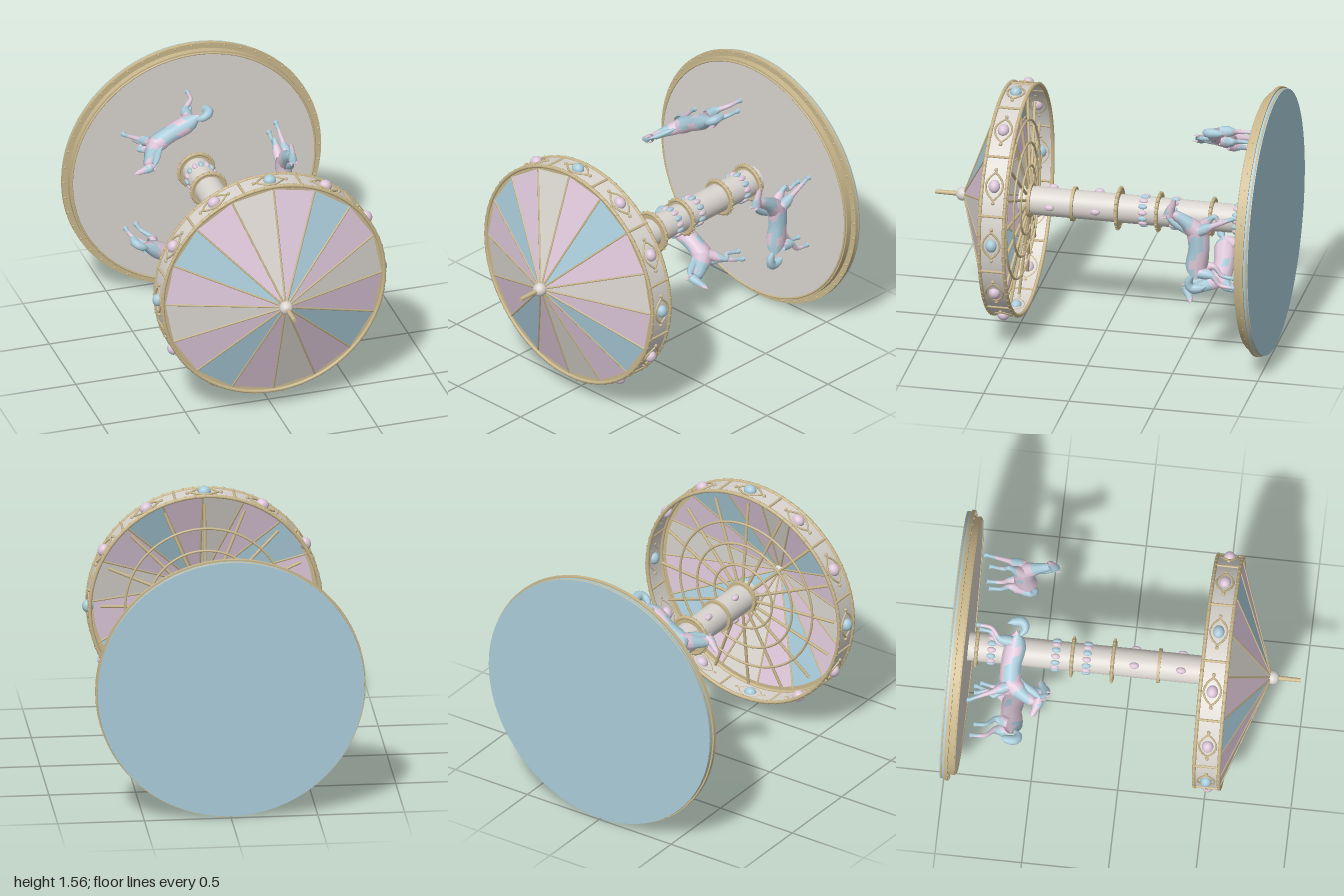
import * as THREE from 'three';
import { mergeGeometries } from 'three/addons/utils/BufferGeometryUtils.js';

const mat = (name, color, side = THREE.DoubleSide) => {
  const m = new THREE.MeshStandardMaterial({ color, side });
  m.name = name;
  return m;
};
const cream = mat('cream', 0xd9d4ce);
const pink = mat('pink', 0xdcc6d8);
const blue = mat('blue', 0xa9cbd9);
const gold = mat('gold', 0xc9b78c);

const TAU = Math.PI * 2;
const V = (x, y, z) => new THREE.Vector3(x, y, z);
// Clock angle a, radius r and height h along the carousel axis
const polar = (a, r, h) => V(r * Math.sin(a), h, -r * Math.cos(a));

function add(parent, name, geometry, material) {
  const m = new THREE.Mesh(geometry, material);
  m.name = name;
  parent.add(m);
  return m;
}
// Solid or open drum between two heights
function drum(parent, name, r, h0, h1, material, open = false) {
  const g = new THREE.CylinderGeometry(r, r, h1 - h0, 72, 1, open);
  return add(parent, name, g.translate(0, (h0 + h1) / 2, 0), material);
}
function hoop(parent, name, r, tube, h, material = gold) {
  const g = new THREE.TorusGeometry(r, tube, 8, 72).rotateX(Math.PI / 2).translate(0, h, 0);
  return add(parent, name, g, material);
}
// Straight rod between two points
function rod(a, b, r) {
  return new THREE.TubeGeometry(new THREE.LineCurve3(a, b), 1, r, 7);
}
// Ellipsoid set on a drum: w around, t high, d outwards
function stud(a, r, h, w, t, d, seg = 14) {
  const g = new THREE.SphereGeometry(1, seg, Math.ceil(seg * 0.7)).scale(w, t, d);
  const p = polar(a, r, h);
  return g.rotateY(Math.PI - a).translate(p.x, p.y, p.z);
}
function studRing(parent, name, n, r, h, size, material = gold) {
  const list = [];
  for (let i = 0; i < n; i++) list.push(stud(i / n * TAU, r, h, size, size, size, 7));
  add(parent, name, mergeGeometries(list), material);
}

// Tube with a radius that changes along its path; flat squeezes it sideways
function limb(points, radii, flat = 1) {
  const seg = 20;
  const curve = new THREE.CatmullRomCurve3(points.map(p => V(...p)));
  const g = new THREE.TubeGeometry(curve, seg, 1, 10);
  const p = g.attributes.position;
  for (let i = 0; i < p.count; i++) {
    const t = Math.floor(i / 11) / seg;
    const c = curve.getPointAt(t);
    const u = t * (radii.length - 1), k = Math.min(Math.floor(u), radii.length - 2);
    const r = THREE.MathUtils.lerp(radii[k], radii[k + 1], u - k);
    const v = V().fromBufferAttribute(p, i).sub(c).multiplyScalar(r);
    p.setXYZ(i, c.x + v.x, c.y + v.y, c.z + v.z * flat);
  }
  return g;
}
// Split a surface into pink coat and blue patches
function mottle(geometry) {
  const g = geometry.toNonIndexed(), p = g.attributes.position;
  const sets = [[], []];
  for (let i = 0; i < p.count; i += 3) {
    const x = p.getX(i), y = p.getY(i), z = p.getZ(i);
    const patch = Math.sin(x * 34 + 1) + Math.sin(y * 47 + x * 18) + Math.sin(z * 40 + y * 20);
    sets[patch > 0.55 ? 1 : 0].push(i, i + 1, i + 2);
  }
  g.setIndex([...sets[0], ...sets[1]]);
  g.addGroup(0, sets[0].length, 0);
  g.addGroup(sets[0].length, sets[1].length, 1);
  return g;
}

// Horse faces +x with its back towards +y
function makeHorse() {
  const horse = new THREE.Group();
  horse.name = 'horse';
  const coat = [pink, blue];
  const parts = [
    limb([[-0.2, -0.63, 0], [-0.12, -0.63, 0], [0, -0.645, 0], [0.1, -0.64, 0], [0.175, -0.63, 0]],
      [0, 0.05, 0.066, 0.066, 0.062, 0.062, 0.066, 0.05, 0], 0.75),
    limb([[0.1, -0.64, 0], [0.16, -0.57, 0], [0.2, -0.5, 0], [0.2, -0.46, 0]], [0.06, 0.055, 0.04, 0.033, 0], 0.7),
    limb([[0.17, -0.465, 0], [0.22, -0.475, 0], [0.265, -0.492, 0], [0.3, -0.505, 0]], [0, 0.034, 0.03, 0.021, 0.019, 0], 0.75),
  ];
  add(horse, 'body', mottle(mergeGeometries(parts)), coat);
  for (const s of [-1, 1]) {
    const z = 0.027 * s, d = s > 0 ? 0 : 0.035;
    const front = [[0.12, -0.65, z], [0.165 + d, -0.735, z], [0.19 - d * 0.5, -0.79 + d, z], [0.225 - d, -0.865 + d, z]];
    const back = [[-0.14, -0.65, z], [-0.15 + d, -0.725, z], [-0.205 + d, -0.775, z], [-0.215 + d, -0.85 + d * 0.5, z]];
    for (const [name, path] of [['frontLeg', front], ['backLeg', back]]) {
      add(horse, name, mottle(limb(path, [0.03, 0.032, 0.016, 0.013, 0.011, 0.011])), coat);
      const e = path[3];
      add(horse, 'hoof', new THREE.CylinderGeometry(0.011, 0.016, 0.025, 8).translate(e[0], e[1], e[2]), blue);
    }
    add(horse, 'ear', new THREE.ConeGeometry(0.009, 0.035, 6).translate(0.185, -0.44, z * 0.6), pink);
  }
  add(horse, 'mane', limb([[0.185, -0.45, 0], [0.15, -0.5, 0], [0.11, -0.56, 0], [0.07, -0.585, 0]], [0, 0.022, 0.026, 0.02, 0], 0.6), blue);
  add(horse, 'tail', limb([[-0.17, -0.61, 0], [-0.215, -0.585, 0], [-0.25, -0.6, 0], [-0.25, -0.65, 0], [-0.235, -0.69, 0]],
    [0.01, 0.022, 0.028, 0.03, 0.024, 0], 0.9), blue);
  return horse;
}

export function createModel() {
  const model = new THREE.Group();
  model.name = 'carousel';
  const ride = new THREE.Group();
  ride.name = 'ride';
  ride.position.y = 0.78;
  ride.rotation.x = Math.PI / 2;
  model.add(ride);

  // Stepped platform
  drum(ride, 'platformBase', 0.77, -1, -0.97, blue);
  hoop(ride, 'platformBottomTrim', 0.764, 0.008, -0.99);
  drum(ride, 'platformStep', 0.78, -0.973, -0.953, gold);
  drum(ride, 'platformWall', 0.745, -0.953, -0.918, gold);
  drum(ride, 'platformFloor', 0.735, -0.94, -0.915, cream);
  hoop(ride, 'platformRim', 0.732, 0.006, -0.915);
  studRing(ride, 'platformRivets', 48, 0.768, -0.953, 0.008);

  // Central column with collars and gems
  drum(ride, 'column', 0.083, -0.92, 0.5, cream);
  for (const [h, r] of [[-0.865, 0.103], [-0.63, 0.1], [-0.315, 0.103], [-0.08, 0.113]]) {
    drum(ride, 'collar', r, h - 0.008, h + 0.008, gold);
    hoop(ride, 'collarRing', r, 0.011, h);
    studRing(ride, 'collarBeads', 20, r + 0.009, h, 0.008);
  }
  drum(ride, 'upperCollar', 0.1, 0.177, 0.195, gold);
  drum(ride, 'hubCollar', 0.1, 0.43, 0.455, gold);
  for (const h of [-0.78, -0.41, -0.23]) {
    for (let i = 0; i < 14; i++) {
      add(ride, 'columnGem', stud(i / 14 * TAU, 0.084, h, 0.016, 0.026, 0.013), i % 2 ? pink : blue);
    }
  }
  for (const h of [0.045, 0.315]) {
    for (let i = 0; i < 3; i++) {
      add(ride, 'largeColumnGem', stud(Math.PI / 2 + i * TAU / 3, 0.086, h, 0.019, 0.028, 0.018), pink);
    }
  }

  // Sixteen coloured canopy panels with seam ribs
  const step = TAU / 16;
  const ribs = [], spokes = [];
  for (let k = 0; k < 16; k++) {
    const g = new THREE.CylinderGeometry(0.025, 0.65, 0.225, 1, 1, true, Math.PI - (k + 1) * step, step)
      .toNonIndexed().translate(0, 0.7125, 0);
    g.computeVertexNormals();
    add(ride, 'canopyPanel', g, [pink, blue, pink, cream][k % 4]);
    ribs.push(rod(polar(k * step, 0.65, 0.6), polar(k * step, 0.025, 0.825), 0.006));
    spokes.push(rod(polar(k * step, 0.07, 0.45), polar(k * step, 0.6, 0.51), 0.009));
  }
  add(ride, 'canopyRibs', mergeGeometries(ribs), gold);
  add(ride, 'underSpokes', mergeGeometries(spokes), gold);
  for (const r of [0.2, 0.33, 0.46]) hoop(ride, 'underHoop', r, 0.007, 0.435 + r * 0.113);

  // Finial
  add(ride, 'finialBall', new THREE.SphereGeometry(0.04, 20, 14).translate(0, 0.84, 0), cream);
  add(ride, 'finialRod', new THREE.CylinderGeometry(0.012, 0.014, 0.15, 14).translate(0, 0.925, 0), gold);

  // Valance band with beaded rims
  drum(ride, 'valanceBand', 0.668, 0.455, 0.6, cream, true);
  for (const h of [0.457, 0.6]) {
    hoop(ride, 'valanceRim', 0.667, 0.011, h);
    studRing(ride, 'valanceBeads', 72, 0.672, h, 0.0095);
  }
  add(ride, 'canopyEdge', new THREE.RingGeometry(0.635, 0.668, 64).rotateX(-Math.PI / 2).translate(0, 0.6, 0), gold);

  // Twelve framed gems and their dividers
  const frames = [];
  for (let i = 0; i < 12; i++) {
    const a = i * TAU / 12;
    add(ride, 'valanceGem', stud(a, 0.672, 0.528, 0.038, 0.033, 0.033, 18), i % 3 ? pink : blue);
    for (const s of [-1, 1]) {
      const pts = [];
      for (let j = 0; j <= 8; j++) {
        const u = j / 4 - 1;
        pts.push(polar(a + u * 0.122, 0.672, 0.528 + s * 0.05 * (1 - u * u)));
      }
      frames.push(new THREE.TubeGeometry(new THREE.CatmullRomCurve3(pts), 16, 0.006, 6));
      frames.push(stud(a + s * 0.145, 0.672, 0.528, 0.011, 0.011, 0.011, 8));
    }
    const d = a + TAU / 24;
    frames.push(rod(polar(d, 0.67, 0.457), polar(d, 0.67, 0.6), 0.008));
  }
  add(ride, 'valanceFrames', mergeGeometries(frames), gold);

  // Three horses around the column
  for (let i = 0; i < 3; i++) {
    const a = Math.PI / 2 + i * TAU / 3;
    const horse = makeHorse();
    horse.position.copy(polar(a, 0.455, 0));
    horse.rotation.y = Math.PI - a;
    ride.add(horse);
  }
  return model;
}
